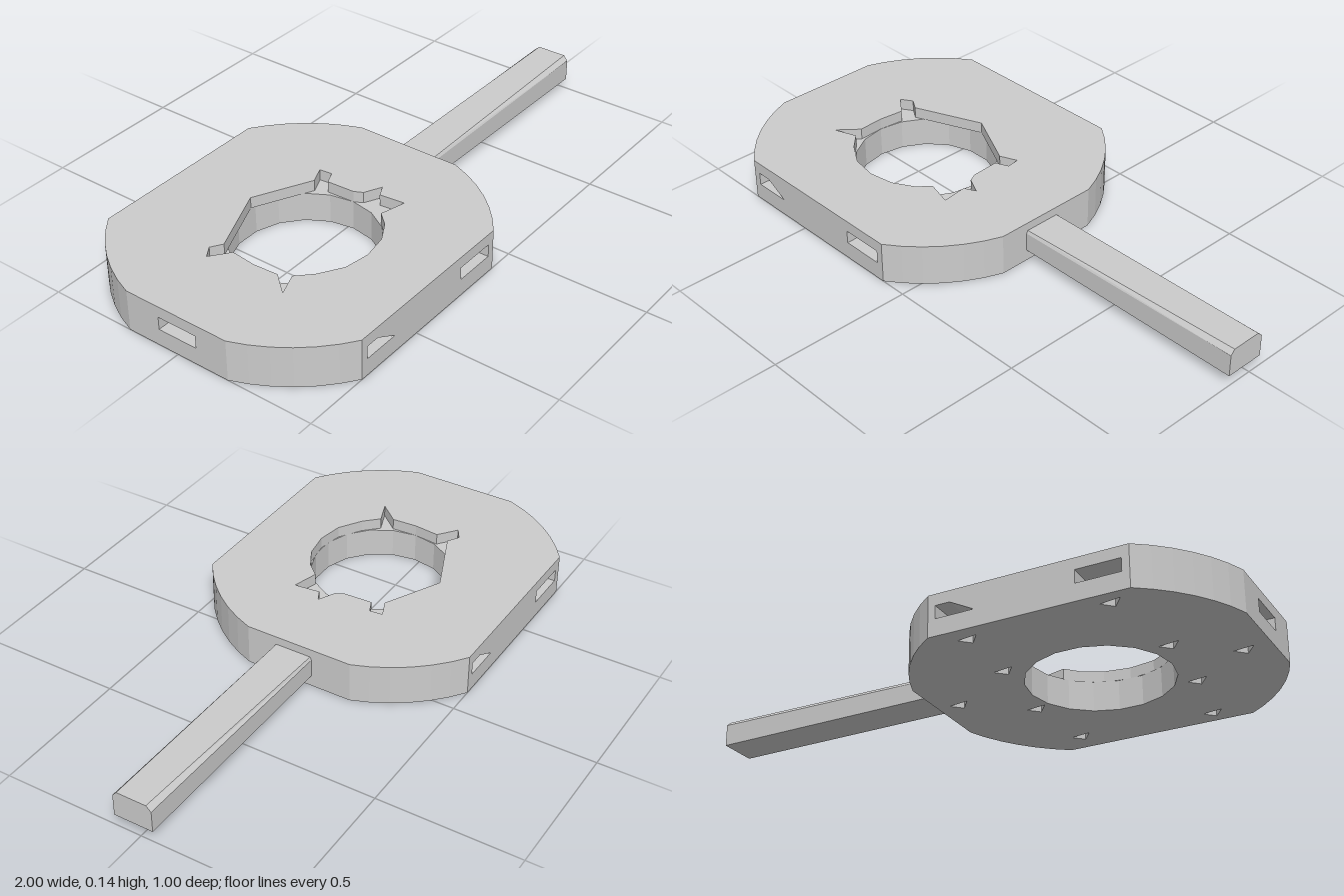
import * as THREE from 'three';

const material = new THREE.MeshStandardMaterial({ color: 0xcccccc, flatShading: true });
const toPoints = (list) => list.map(([x, z]) => new THREE.Vector2(x, z));

const HALF_X = 0.57, HALF_Z = 0.5, RADIUS = 0.602;

// Disc trimmed by a rectangle; pockets, if wanted, are cut into three of the flat edges
function outline(withPockets) {
  const a0 = Math.acos(HALF_X / RADIUS), a1 = Math.asin(HALF_Z / RADIUS);
  const pts = [];
  const arc = (from, to) => {
    for (let i = 0; i <= 6; i++) {
      const a = from + (to - from) * i / 6;
      pts.push([RADIUS * Math.cos(a), RADIUS * Math.sin(a)]);
    }
  };
  const pocketZ = (xa, xb, s) => withPockets &&
    pts.push([xa, s * HALF_Z], [xa, s * 0.38], [xb, s * 0.38], [xb, s * HALF_Z]);
  arc(a0, a1);
  pocketZ(0.31, 0.16, 1);
  pocketZ(-0.18, -0.31, 1);
  arc(Math.PI - a1, Math.PI - a0);
  if (withPockets) pts.push([-HALF_X, 0.075], [-0.45, 0.075], [-0.45, -0.07], [-HALF_X, -0.07]);
  arc(Math.PI + a0, Math.PI + a1);
  pocketZ(-0.31, -0.16, -1);
  pocketZ(0.18, 0.31, -1);
  arc(-a1, -a0);
  return pts;
}

// Horizontal slab between two heights, with openings
function layer(name, y0, y1, edge, holes) {
  const shape = new THREE.Shape(toPoints(edge));
  holes.forEach((h) => shape.holes.push(new THREE.Path(toPoints(h))));
  const geo = new THREE.ExtrudeGeometry(shape, { depth: y1 - y0, bevelEnabled: false });
  geo.rotateX(Math.PI / 2).translate(0, y1, 0);
  const mesh = new THREE.Mesh(geo, material);
  mesh.name = name;
  return mesh;
}

// Solid bar lofted between two matching [y, z] sections
function loft(x0, a, x1, b) {
  const pos = [];
  const n = a.length;
  const A = (i) => [x0, ...a[i % n]], B = (i) => [x1, ...b[i % n]];
  for (let i = 0; i < n; i++) {
    pos.push(...A(i), ...A(i + 1), ...B(i + 1), ...A(i), ...B(i + 1), ...B(i));
    if (i > 0 && i < n - 1) {
      pos.push(...B(0), ...B(i), ...B(i + 1), ...A(0), ...A(i + 1), ...A(i));
    }
  }
  const geo = new THREE.BufferGeometry();
  geo.setAttribute('position', new THREE.Float32BufferAttribute(pos, 3));
  geo.computeVertexNormals();
  return geo;
}

export function createModel() {
  const model = new THREE.Group();
  const plate = new THREE.Group();
  plate.name = 'plate';
  plate.position.x = -0.43;
  model.add(plate);

  // Central opening: round below, angular with chipped notches on top
  const roundHole = [];
  for (let i = 0; i < 18; i++) {
    const a = i / 18 * Math.PI * 2;
    roundHole.push([0.245 * Math.cos(a), 0.02 + 0.245 * Math.sin(a)]);
  }
  const topHole = [
    [0.02, -0.22], [0.22, -0.12], [0.28, -0.145], [0.285, -0.1], [0.24, -0.08],
    [0.245, 0.02], [0.26, 0.05], [0.32, 0.08], [0.28, 0.1], [0.29, 0.19], [0.2, 0.165],
    [0.16, 0.21], [0.09, 0.25], [0, 0.265], [-0.09, 0.25], [-0.17, 0.2], [-0.22, 0.15],
    [-0.3, 0.18], [-0.24, 0.11], [-0.245, 0.02], [-0.235, -0.07], [-0.3, -0.12],
    [-0.26, -0.145], [-0.22, -0.12],
  ];

  // Small triangular breaks in the underside
  const breaks = [
    [0.23, -0.43], [0.49, -0.02], [0.25, 0.41], [-0.22, 0.44], [-0.48, 0.04],
    [-0.25, -0.44], [-0.29, -0.1], [-0.27, 0.18], [0.24, -0.18], [0.28, 0.13],
  ].map(([x, z]) => [[x - 0.035, z - 0.02], [x + 0.035, z - 0.01], [x, z + 0.025]]);

  plate.add(
    layer('plateBottom', 0, 0.06, outline(false), [roundHole, ...breaks]),
    layer('plateMiddle', 0.06, 0.105, outline(true), [roundHole]),
    layer('plateTop', 0.105, 0.145, outline(false), [topHole]),
  );

  // Sloping fill in one front and one back pocket
  const wedgeShape = new THREE.Shape(toPoints([[-0.26, 0.105], [-0.18, 0.062], [-0.18, 0.105]]));
  const wedgeGeo = new THREE.ExtrudeGeometry(wedgeShape, { depth: 0.12, bevelEnabled: false });
  wedgeGeo.translate(0, 0, 0.38);
  ['frontPocketWedge', 'backPocketWedge'].forEach((name, i) => {
    const wedge = new THREE.Mesh(wedgeGeo, material);
    wedge.name = name;
    wedge.rotation.y = i * Math.PI;
    plate.add(wedge);
  });

  // Handle, slightly deeper and chamfered at the tip
  const base = [[0.04, 0.09], [0.04, -0.05], [0.105, -0.05], [0.115, -0.045], [0.115, 0.085], [0.105, 0.09]];
  const tip = [[0.038, 0.095], [0.038, -0.045], [0.115, -0.045], [0.132, -0.027], [0.132, 0.08], [0.115, 0.095]];
  const handle = new THREE.Mesh(loft(0.12, base, 1, tip), material);
  handle.name = 'handle';
  model.add(handle);

  return model;
}
